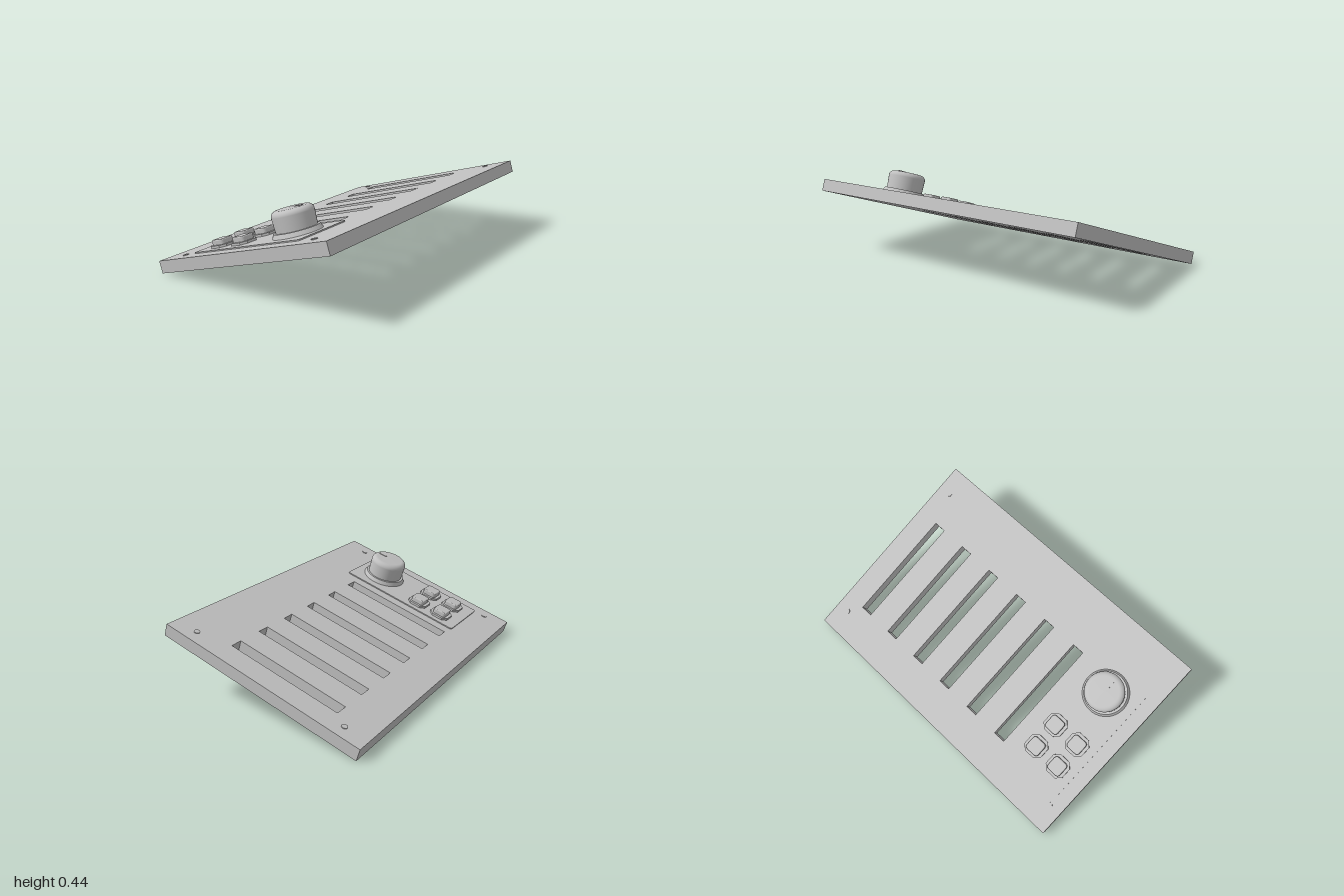
import * as THREE from 'three';

const grey = new THREE.MeshStandardMaterial({ color: 0xc0c0c0 });
grey.name = 'light grey';

const W = 1.127, D = 1.688, T = 0.065;
const TOP = T / 2;

// Rectangle with cut (straight) or rounded corners
function rectShape(w, d, c, round) {
  const x = w / 2, y = d / 2, s = new THREE.Shape();
  const corner = (cx, cy, ex, ey) => (round ? s.quadraticCurveTo(cx, cy, ex, ey) : s.lineTo(ex, ey));
  s.moveTo(-x + c, -y);
  s.lineTo(x - c, -y); corner(x, -y, x, -y + c);
  s.lineTo(x, y - c); corner(x, y, x - c, y);
  s.lineTo(-x + c, y); corner(-x, y, -x, y - c);
  s.lineTo(-x, -y + c); corner(-x, -y, -x + c, -y);
  return s;
}

// Flat-lying extrusion whose underside is at y = 0
function slab(shape, height, bevel = 0) {
  const g = new THREE.ExtrudeGeometry(shape, {
    depth: height - bevel, bevelEnabled: bevel > 0, bevelSize: bevel,
    bevelThickness: bevel, bevelOffset: -bevel, bevelSegments: 3, curveSegments: 5,
  });
  return g.rotateX(-Math.PI / 2);
}

function add(parent, name, geometry, x = 0, y = 0, z = 0) {
  const m = new THREE.Mesh(geometry, grey);
  m.name = name;
  m.position.set(x, y, z);
  parent.add(m);
  return m;
}

export function createModel() {
  const root = new THREE.Group();
  root.name = 'controlPanel';
  const panel = new THREE.Group();
  panel.name = 'tiltedPanel';
  panel.position.y = 0.2025;
  panel.rotation.set(0, -0.486, 0.309, 'YXZ');
  root.add(panel);

  // Face board with six through slots
  const board = new THREE.Shape([
    new THREE.Vector2(-W / 2, -D / 2), new THREE.Vector2(W / 2, -D / 2),
    new THREE.Vector2(W / 2, D / 2), new THREE.Vector2(-W / 2, D / 2),
  ]);
  for (let i = 0; i < 6; i++) {
    const x0 = -0.36, x1 = 0.262, y1 = 0.719 - i * 0.206, y0 = y1 - 0.066;
    board.holes.push(new THREE.Path([
      new THREE.Vector2(x0, y0), new THREE.Vector2(x0, y1),
      new THREE.Vector2(x1, y1), new THREE.Vector2(x1, y0),
    ]));
  }
  add(panel, 'slottedBoard', slab(board, T), 0, -TOP, 0);

  // Corner screws
  const screw = new THREE.CylinderGeometry(0.015, 0.015, 0.008, 20);
  for (const sx of [-1, 1])
    for (const sz of [-1, 1]) add(panel, 'cornerScrew', screw, sx * 0.435, TOP, sz * 0.773);

  // Thin raised plate carrying the controls
  const plateH = 0.006, deck = TOP + plateH;
  add(panel, 'controlPlate', slab(rectShape(0.717, 0.337, 0.015, true), plateH), -0.016, TOP, 0.603);

  // Two by two push buttons
  const bezel = slab(rectShape(0.112, 0.112, 0.026, false), 0.012);
  const cap = slab(rectShape(0.08, 0.08, 0.018, true), 0.038, 0.006);
  for (const x of [-0.258, -0.109])
    for (const z of [0.523, 0.673]) {
      add(panel, 'buttonBezel', bezel, x, deck, z);
      add(panel, 'buttonCap', cap, x, deck, z);
    }

  // Rotary knob: flared skirt, rounded cap and pointer mark
  const knob = new THREE.Group();
  knob.name = 'knob';
  knob.position.set(0.187, deck, 0.604);
  panel.add(knob);
  add(knob, 'knobSkirt', new THREE.CylinderGeometry(0.112, 0.122, 0.022, 48), 0, 0.011, 0);
  const profile = [new THREE.Vector2(0.1, 0.02), new THREE.Vector2(0.103, 0.095)];
  for (let i = 1; i <= 6; i++) {
    const a = (i / 6) * Math.PI / 2;
    profile.push(new THREE.Vector2(0.075 + 0.028 * Math.cos(a), 0.095 + 0.028 * Math.sin(a)));
  }
  profile.push(new THREE.Vector2(0, 0.125));
  add(knob, 'knobCap', new THREE.LatheGeometry(profile, 48));
  add(knob, 'knobPointer', slab(rectShape(0.048, 0.015, 0.007, true), 0.006), 0.048, 0.121, 0);

  return root;
}
